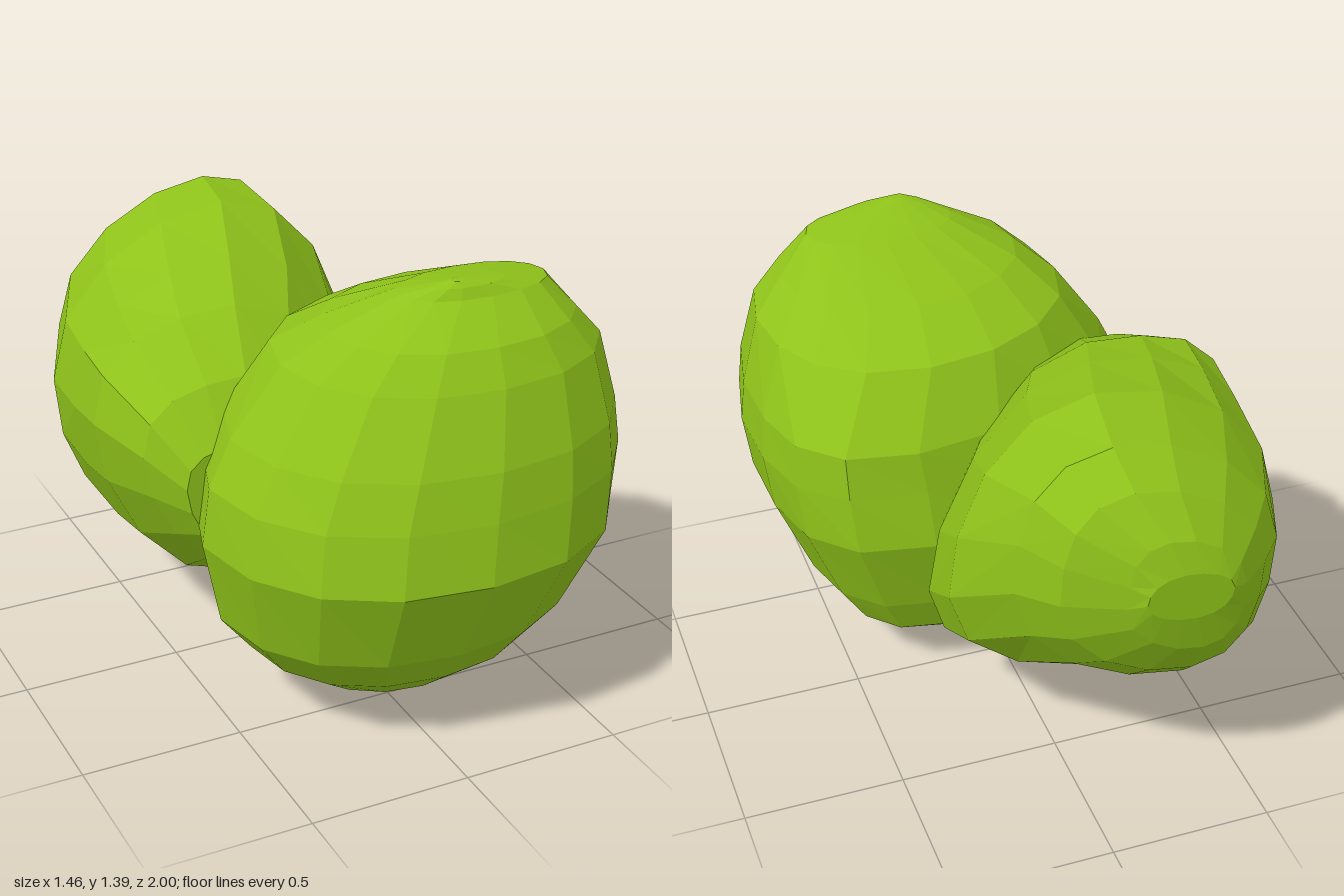
import * as THREE from 'three';

const SIDES = 16;
const clamp = THREE.MathUtils.clamp;

// Faceted closed blob lofted through oval sections [height, a0, a1, b0, b1].
// place(height, a, b) maps a section point to [x, y, z].
// slide(height) shifts the b0 / b1 ends along a, bow(height) shifts the a0 / a1 ends along b,
// and a power below 1 makes the ovals squarer.
function blob(name, sections, { place, turn, power, slide, bow }, material) {
  const positions = [];
  const first = sections[0], last = sections[sections.length - 1];
  const pole = ([h, a0, a1, b0, b1]) => [h, (a0 + a1) / 2, (a0 + a1) / 2, (b0 + b1) / 2, (b0 + b1) / 2];
  const rows = [pole(first), ...sections, pole(last)];
  const round = (v) => Math.sign(v) * Math.abs(v) ** power;

  const point = (i, j) => {
    const [h, a0, a1, b0, b1] = rows[i];
    const t = (j % SIDES) / SIDES * Math.PI * 2;
    const c = round(Math.cos(t)), s = round(turn * Math.sin(t));
    const ra = (a1 - a0) / 2, rb = (b1 - b0) / 2;
    const shiftA = slide(h)[s < 0 ? 0 : 1] * rb * s * s;
    const shiftB = bow(h)[c < 0 ? 0 : 1] * rb * c * c;
    return place(h, (a0 + a1) / 2 + ra * c + shiftA, (b0 + b1) / 2 + rb * s + shiftB);
  };

  for (let i = 0; i < rows.length - 1; i++) {
    for (let j = 0; j < SIDES; j++) {
      const a = point(i, j), b = point(i + 1, j), c = point(i + 1, j + 1), d = point(i, j + 1);
      if (i < rows.length - 2) positions.push(...a, ...b, ...c);
      if (i > 0) positions.push(...a, ...c, ...d);
    }
  }

  const geometry = new THREE.BufferGeometry();
  geometry.setAttribute('position', new THREE.Float32BufferAttribute(positions, 3));
  geometry.computeVertexNormals();
  const mesh = new THREE.Mesh(geometry, material);
  mesh.name = name;
  return mesh;
}

export function createModel() {
  const group = new THREE.Group();
  group.name = 'leafClump';
  const leaf = new THREE.MeshStandardMaterial({ color: 0x8fc31a, flatShading: true });

  // Front clump: level sections from the bottom up, [y, x0, x1, z0, z1]
  group.add(blob('frontClump', [
    [0.00, 0.08, 0.15, 0.20, 0.28],
    [0.02, -0.04, 0.18, 0.16, 0.46],
    [0.10, -0.25, 0.33, 0.05, 0.65],
    [0.20, -0.40, 0.49, -0.06, 0.77],
    [0.34, -0.51, 0.585, -0.115, 0.88],
    [0.62, -0.575, 0.70, -0.18, 1.00],
    [0.80, -0.55, 0.725, -0.15, 0.97],
    [0.94, -0.48, 0.71, -0.13, 0.94],
    [1.15, -0.33, 0.65, 0.00, 0.86],
    [1.25, -0.21, 0.55, 0.19, 0.80],
    [1.35, -0.02, 0.45, 0.43, 0.68],
    [1.38, 0.06, 0.29, 0.55, 0.66],
    [1.395, 0.11, 0.15, 0.61, 0.64],
  ], {
    place: (y, x, z) => [x, y, z],
    turn: 1,
    power: 0.93,
    slide: (y) => [clamp(1.3 - y, 0.1, 0.36), 0],
    bow: () => [0.03, 0.05],
  }, leaf));

  // Rear clump: upright sections from the back forward, [z, x0, x1, y0, y1]
  group.add(blob('rearClump', [
    [-1.00, -0.33, -0.07, 0.84, 1.00],
    [-0.97, -0.38, -0.02, 0.70, 1.10],
    [-0.88, -0.48, 0.14, 0.55, 1.22],
    [-0.76, -0.575, 0.23, 0.43, 1.295],
    [-0.50, -0.69, 0.34, 0.28, 1.30],
    [-0.23, -0.715, 0.32, 0.22, 1.22],
    [-0.02, -0.73, 0.20, 0.24, 1.15],
    [0.20, -0.66, 0.00, 0.40, 1.02],
    [0.31, -0.57, -0.20, 0.50, 0.86],
  ], {
    place: (z, x, y) => [x, y, z],
    turn: -1,
    power: 1,
    slide: (z) => [clamp(0.5 * z, -0.3, 0), clamp(-0.1 - 0.5 * z, 0, 0.3)],
    bow: (z) => [clamp(0.35 + 0.7 * z, 0, 0.35), clamp(-0.65 - 0.87 * z, -0.5, 0)],
  }, leaf));

  return group;
}
